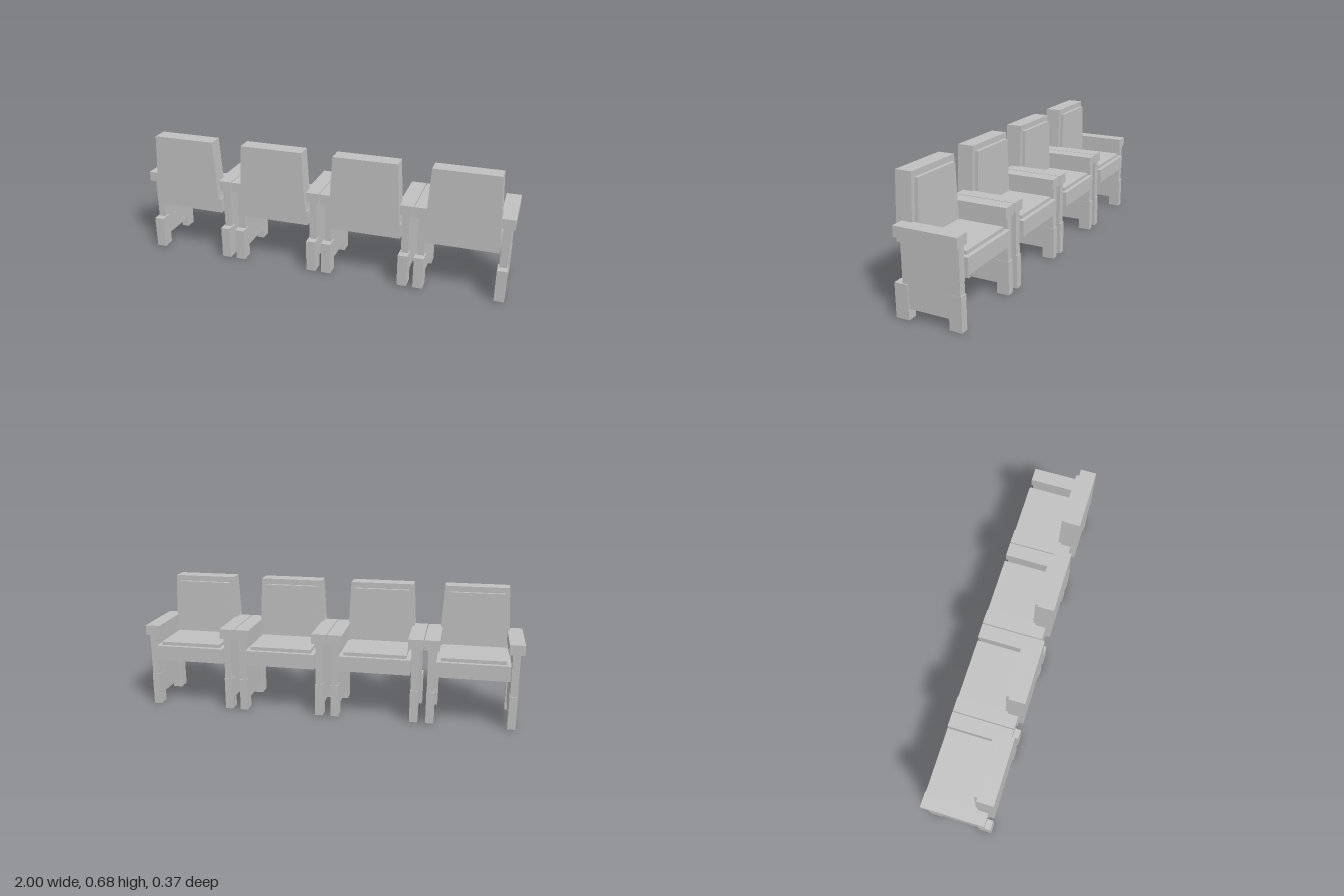
import * as THREE from 'three';

const grey = new THREE.MeshStandardMaterial({ color: 0xc0c0c0 });
grey.name = 'light grey';

// Box given by its extents; topScale narrows the upper edge about the chair's centre line.
function block(name, [x0, x1], [y0, y1], [z0, z1], topScale = 1) {
  const geometry = new THREE.BoxGeometry(x1 - x0, y1 - y0, z1 - z0);
  geometry.translate((x0 + x1) / 2, (y0 + y1) / 2, (z0 + z1) / 2);
  if (topScale !== 1) {
    const p = geometry.attributes.position;
    const middle = (y0 + y1) / 2;
    for (let i = 0; i < p.count; i++) {
      if (p.getY(i) > middle) p.setX(i, p.getX(i) * topScale);
    }
    geometry.computeVertexNormals();
  }
  const mesh = new THREE.Mesh(geometry, grey);
  mesh.name = name;
  return mesh;
}

// One side frame: arm, side panel and two feet.
function createSide(side) {
  const frame = new THREE.Group();
  frame.name = side > 0 ? 'leftSide' : 'rightSide';
  const span = (a, b) => (side > 0 ? [a, b] : [-b, -a]);
  frame.add(
    block('armrest', span(0.17, 0.248), [0.395, 0.448], [-0.172, 0.155]),
    block('sidePanel', span(0.19, 0.228), [0.055, 0.395], [-0.167, 0.133]),
    block('backrestFoot', span(0.183, 0.234), [0, 0.173], [0.103, 0.173]),
    block('seatEdgeFoot', span(0.188, 0.229), [0, 0.173], [-0.172, -0.107]),
  );
  return frame;
}

function createChair() {
  const chair = new THREE.Group();
  chair.name = 'chair';
  chair.add(
    block('seat', [-0.186, 0.186], [0.26, 0.34], [-0.185, 0.155]),
    block('seatCushion', [-0.163, 0.163], [0.34, 0.358], [-0.163, 0.137]),
    block('backrest', [-0.186, 0.186], [0.348, 0.675], [0.1, 0.185], 0.9),
    block('backCushion', [-0.163, 0.163], [0.358, 0.645], [0.082, 0.1], 0.9),
    createSide(1),
    createSide(-1),
  );
  return chair;
}

export function createModel() {
  const row = new THREE.Group();
  row.name = 'seatRow';
  // Four identical chairs side by side
  for (let i = 0; i < 4; i++) {
    const chair = createChair();
    chair.position.x = (i - 1.5) * 0.5013;
    row.add(chair);
  }
  return row;
}
